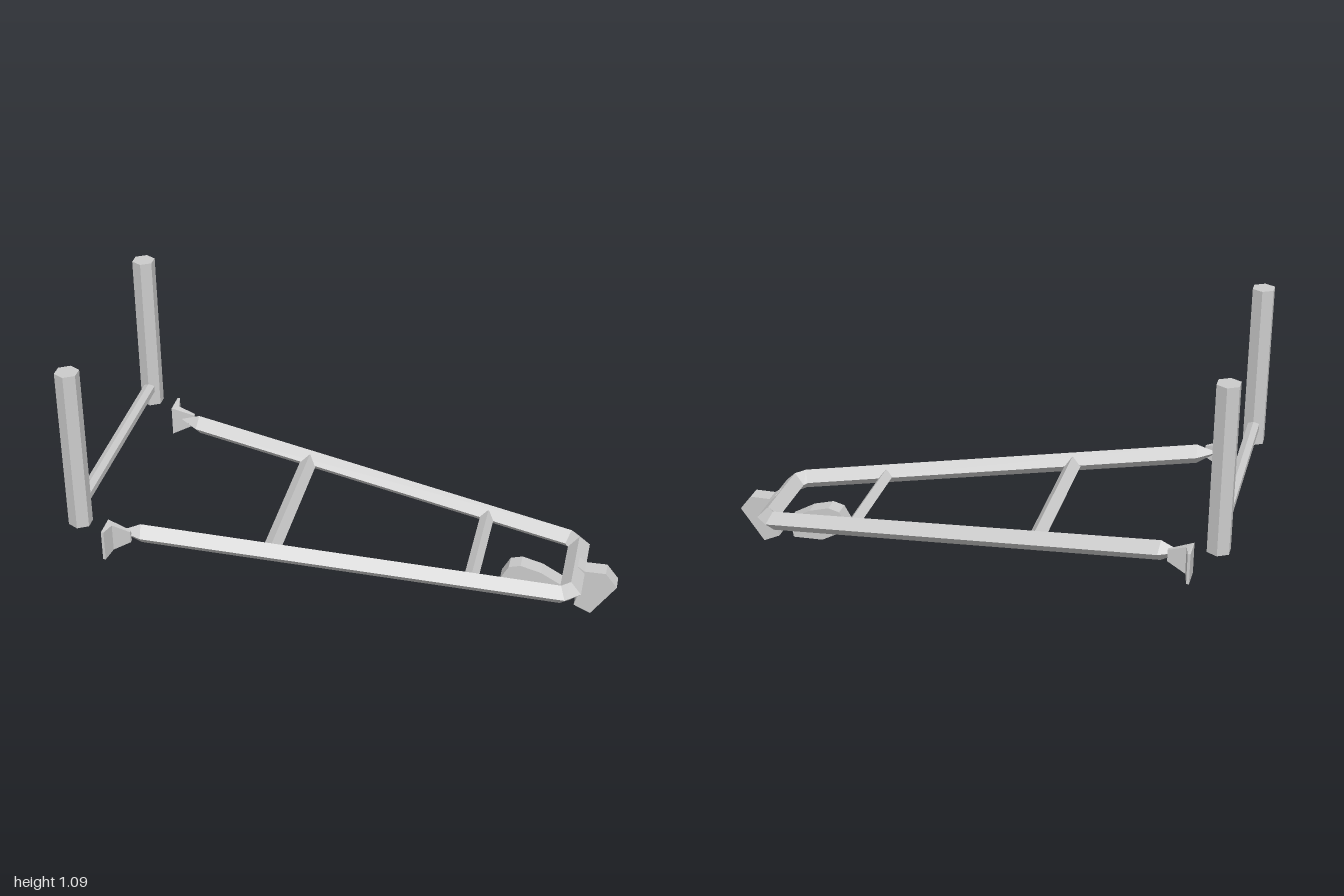
import * as THREE from 'three';

const material = new THREE.MeshStandardMaterial({ color: 0xcccccc, flatShading: true });

function part(name, geometry, x = 0, y = 0, z = 0) {
  const mesh = new THREE.Mesh(geometry, material);
  mesh.name = name;
  mesh.position.set(x, y, z);
  return mesh;
}

// Bar of n sides lying along z, with a corner pointing up
const crossBar = (radius, length, sides) =>
  new THREE.CylinderGeometry(radius, radius, length, sides).rotateX(Math.PI / 2);

// Diamond section swept along a path of [x, y, z, radius], mitred at the bends
function sweepDiamond(path) {
  const points = path.map(([x, y, z]) => new THREE.Vector3(x, y, z));
  const heading = (i) => points[i + 1].clone().sub(points[i]).setY(0).normalize();
  const up = new THREE.Vector3(0, 1, 0);
  const last = points.length - 1;
  const positions = [], index = [];
  points.forEach((p, i) => {
    const before = heading(Math.max(i - 1, 0));
    const after = heading(Math.min(i, last - 1));
    const along = before.clone().add(after).normalize();
    const side = along.clone().cross(up).divideScalar(along.dot(after));
    const r = path[i][3];
    for (const [u, s] of [[1, 0], [0, 1], [-1, 0], [0, -1]]) {
      positions.push(...p.clone().addScaledVector(up, u * r).addScaledVector(side, s * r).toArray());
    }
    if (i === last) return;
    for (let j = 0; j < 4; j++) {
      const a = i * 4 + j, b = i * 4 + (j + 1) % 4;
      index.push(a, b, a + 4, b, b + 4, a + 4);
    }
  });
  const geometry = new THREE.BufferGeometry();
  geometry.setAttribute('position', new THREE.Float32BufferAttribute(positions, 3));
  geometry.setIndex(index);
  geometry.computeVertexNormals();
  return geometry;
}

// Side outline in x and y, extruded about z = 0
function slab(outline, width) {
  const shape = new THREE.Shape(outline.map(([x, y]) => new THREE.Vector2(x, y)));
  return new THREE.ExtrudeGeometry(shape, { depth: width, bevelEnabled: false }).translate(0, 0, -width / 2);
}

// L-shaped bracket: plan outline extruded upright, its tab narrowing toward the rail
function bracket(side) {
  const plan = [[-0.87, 0.5], [-0.86, 0.5], [-0.847, 0.443], [-0.78, 0.437], [-0.78, 0.424], [-0.87, 0.413]];
  const geometry = slab(plan.map(([x, z]) => [x, z * side]), 1).rotateX(Math.PI / 2);
  const pos = geometry.attributes.position;
  for (let i = 0; i < pos.count; i++) {
    const t = THREE.MathUtils.clamp((pos.getX(i) + 0.86) / 0.08, 0, 1);
    pos.setY(i, THREE.MathUtils.lerp(0.385, 0.393, t) + pos.getY(i) * THREE.MathUtils.lerp(0.12, 0.045, t));
  }
  geometry.computeVertexNormals();
  return geometry;
}

export function createModel() {
  const model = new THREE.Group();
  model.name = 'towFrame';

  // Upright posts joined by a hexagonal bar
  for (const side of [1, -1]) {
    const label = side > 0 ? 'front' : 'back';
    model.add(part(label + 'Post', new THREE.CylinderGeometry(0.045, 0.045, 0.635, 6), -0.961, 0.7675, side * 0.455));
    model.add(part(label + 'Bracket', bracket(side)));
  }
  model.add(part('postCrossBar', crossBar(0.025, 0.84, 6), -0.961, 0.525, 0));

  // Continuous A-shaped rail with pointed ends
  const half = [[-0.83, 0.4, 0.413, 0], [-0.75, 0.391, 0.4, 0.04], [0.8, 0.184, 0.187, 0.04], [0.834, 0.18, 0.152, 0.041]];
  const mirrored = half.map(([x, y, z, r]) => [x, y, -z, r]).reverse();
  model.add(part('frameRail', sweepDiamond([...half, ...mirrored])));

  // Braces between the rails, tilted with the frame
  for (const [name, x, y, radius, length] of [
    ['wideBrace', -0.276, 0.323, 0.033, 0.64],
    ['narrowBrace', 0.465, 0.228, 0.027, 0.43],
  ]) {
    const brace = part(name, crossBar(radius, length, 4), x, y, 0);
    brace.rotation.z = -0.13;
    model.add(brace);
  }

  // Hook at the tip and the jaw block facing it
  model.add(part('hook', slab([
    [0.82, 0.205], [0.85, 0.208], [0.875, 0.19], [0.955, 0.19], [1, 0.132],
    [0.907, 0], [0.842, 0.03], [0.864, 0.113], [0.82, 0.15],
  ], 0.064)));
  model.add(part('jawBlock', slab([
    [0.553, 0.112], [0.585, 0.17], [0.63, 0.182], [0.71, 0.16], [0.794, 0.112],
    [0.78, 0.034], [0.66, 0.037], [0.563, 0.09],
  ], 0.064)));

  return model;
}
